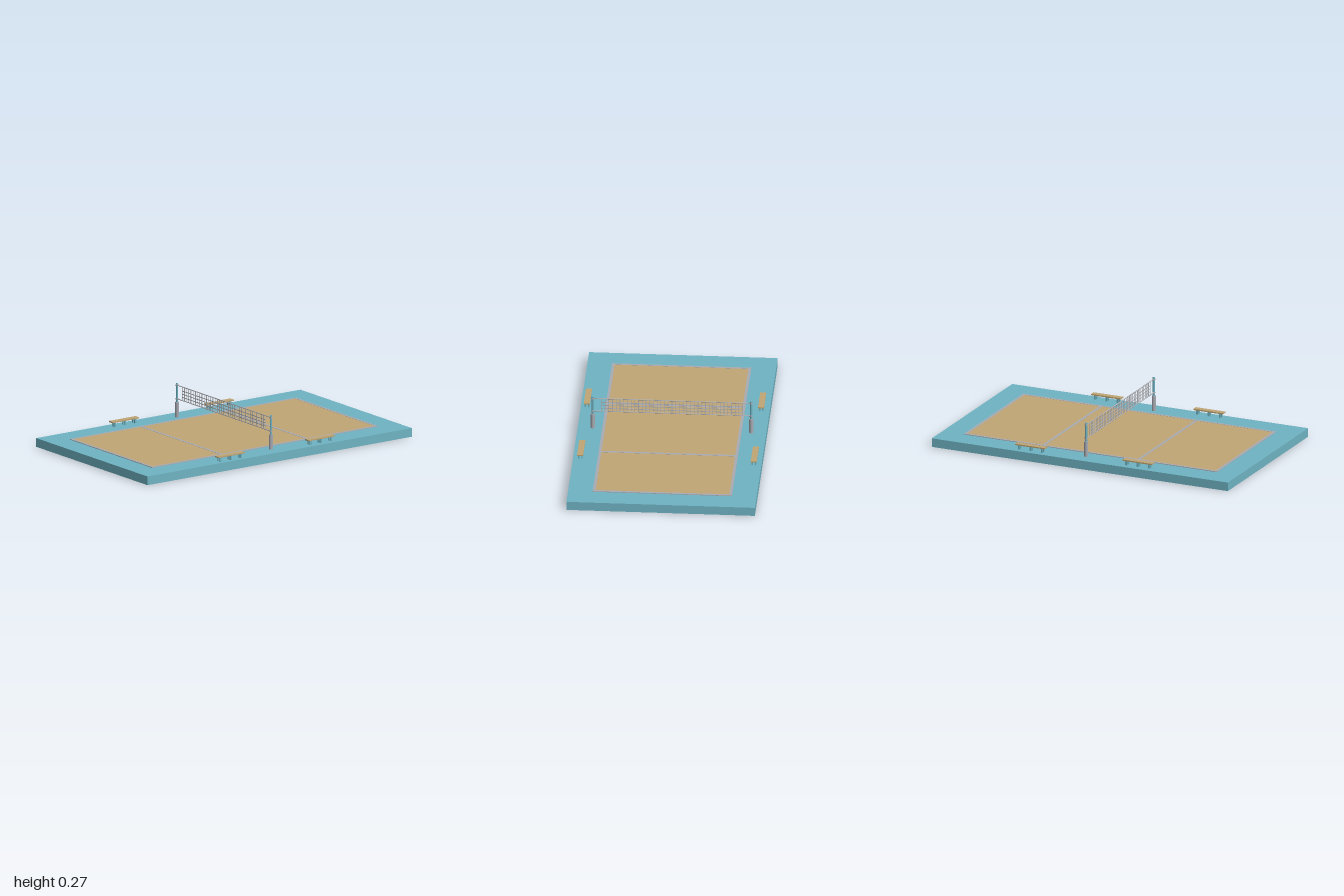
import * as THREE from 'three';

const mat = (color) => new THREE.MeshStandardMaterial({ color });

export function createModel() {
  const model = new THREE.Group();
  const teal = mat(0x6fb4c3), sand = mat(0xbfa675), grey = mat(0xa9abb3), white = mat(0xb4b4b8);

  const add = (parent, name, geometry, material, x, y, z) => {
    const mesh = new THREE.Mesh(geometry, material);
    mesh.name = name;
    mesh.position.set(x, y, z);
    parent.add(mesh);
    return mesh;
  };
  const box = (parent, name, material, w, h, d, x, y, z) =>
    add(parent, name, new THREE.BoxGeometry(w, h, d), material, x, y, z);
  const group = (name) => {
    const g = new THREE.Group();
    g.name = name;
    model.add(g);
    return g;
  };

  // Ground slab and playing surface
  const baseTop = 0.055;
  box(model, 'base', teal, 1.156, baseTop, 2, 0, baseTop / 2, 0);
  box(model, 'court', sand, 0.82, 0.003, 1.676, 0, baseTop + 0.0015, 0);

  // Court markings
  const lines = group('courtLines');
  const lw = 0.017, lineY = baseTop + 0.002;
  for (const s of [-1, 1]) {
    box(lines, 'sideLine', grey, lw, 0.004, 1.71, s * 0.4185, lineY, 0);
    box(lines, 'endLine', grey, 0.82, 0.004, lw, 0, lineY, s * 0.8465);
    box(lines, 'attackLine', grey, 0.82, 0.004, lw, 0, lineY, s * 0.322);
  }

  // Net posts with padded sleeves and rope collars
  const postX = 0.486;
  for (const s of [-1, 1]) {
    const post = group(s > 0 ? 'leftPost' : 'rightPost');
    post.position.x = s * postX;
    add(post, 'pad', new THREE.CylinderGeometry(0.0125, 0.0125, 0.095, 20), grey, 0, baseTop + 0.0475, 0);
    add(post, 'pole', new THREE.CylinderGeometry(0.0065, 0.0065, 0.12, 16), teal, 0, 0.209, 0);
    for (const y of [0.17, 0.256])
      add(post, 'collar', new THREE.CylinderGeometry(0.009, 0.009, 0.008, 16), grey, 0, y, 0);
  }

  // Net: two ropes and a mesh of strands
  const net = group('net');
  for (const y of [0.17, 0.256]) {
    const rope = add(net, 'rope', new THREE.CylinderGeometry(0.0032, 0.0032, 2 * postX, 8), white, 0, y, 0);
    rope.rotation.z = Math.PI / 2;
  }
  const half = 0.433, columns = 38;
  for (let i = 0; i <= columns; i++)
    box(net, 'verticalStrand', white, 0.0035, 0.086, 0.003, -half + (2 * half * i) / columns, 0.213, 0);
  for (const y of [0.19, 0.21, 0.23])
    box(net, 'horizontalStrand', white, 2 * half, 0.0045, 0.003, 0, y, 0);

  // Benches: plank seat on three pairs of legs
  const places = [[-0.532, -0.35], [0.533, -0.337], [-0.527, 0.372], [0.54, 0.35]];
  for (const [x, z] of places) {
    const bench = group('bench');
    bench.position.set(x, baseTop, z);
    box(bench, 'seat', sand, 0.037, 0.008, 0.2, 0, 0.031, 0);
    for (const lz of [-0.077, 0, 0.077]) {
      for (const lx of [-0.01, 0.01])
        box(bench, 'leg', teal, 0.008, 0.027, 0.012, lx, 0.0135, lz);
    }
  }

  return model;
}
